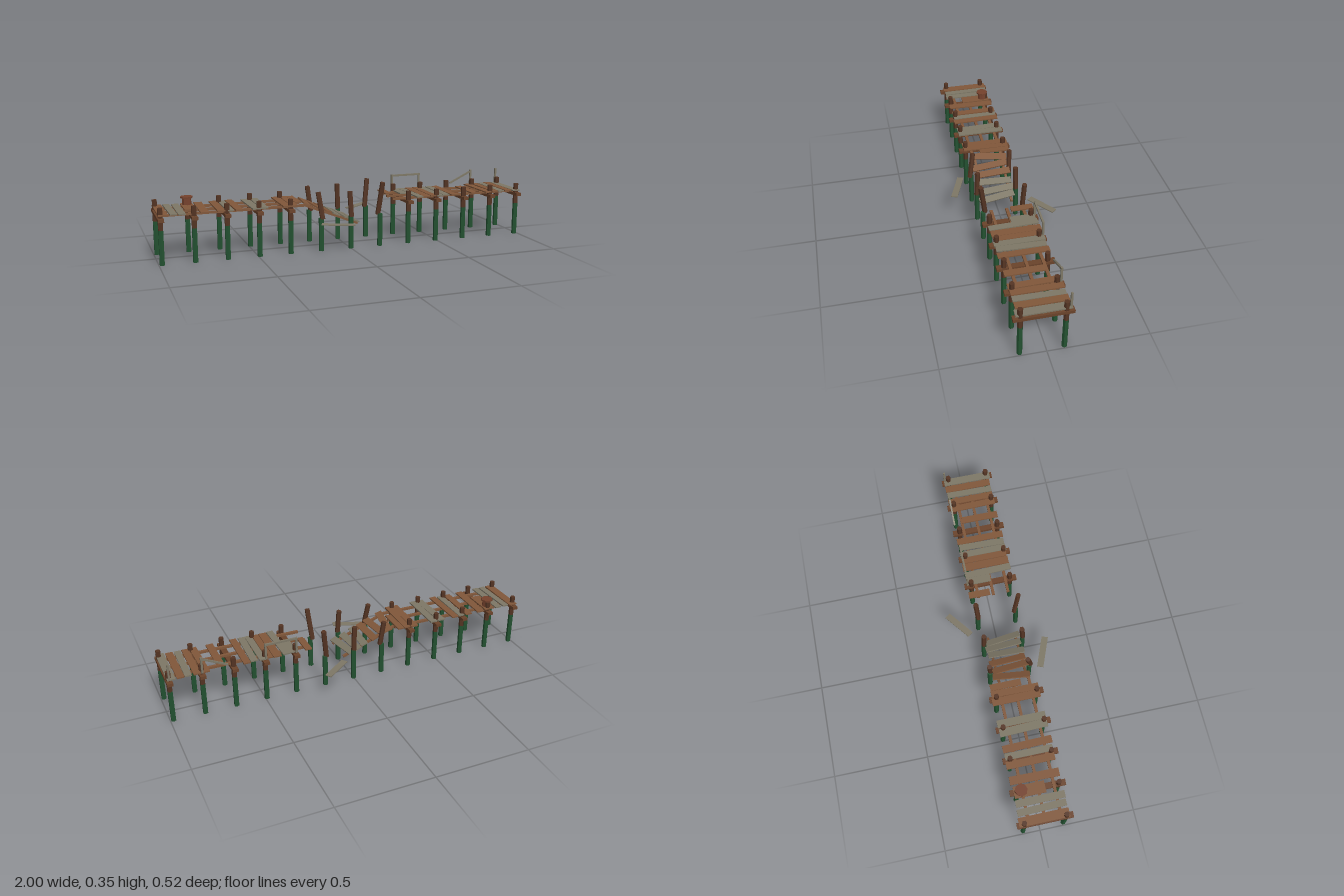
import * as THREE from 'three';

const paint = (color) => new THREE.MeshStandardMaterial({ color, flatShading: true });
const GREEN = paint(0x235231), BARK = paint(0x553524), BEAM = paint(0x6a432b);
const BROWN = paint(0x80573a), GREY = paint(0x7d7766), RED = paint(0x74412c);

const FRONT_Z = 0.126, BACK_Z = -0.087;
const BENT = (i) => -0.984 + 0.164 * i;

function add(parent, name, geometry, material, x = 0, y = 0, z = 0) {
  const m = new THREE.Mesh(geometry, material);
  m.name = name;
  m.position.set(x, y, z);
  parent.add(m);
  return m;
}

function box(parent, name, material, size, pos) {
  return add(parent, name, new THREE.BoxGeometry(...size), material, ...pos);
}

// Lay a mesh with its long axis on y between two points
function span(mesh, a, b) {
  const from = new THREE.Vector3(...a), to = new THREE.Vector3(...b);
  mesh.position.copy(from).add(to).multiplyScalar(0.5);
  mesh.quaternion.setFromUnitVectors(new THREE.Vector3(0, 1, 0), to.sub(from).normalize());
  return mesh;
}

function log(parent, name, material, a, b, r = 0.0135) {
  const len = new THREE.Vector3(...a).distanceTo(new THREE.Vector3(...b));
  return span(add(parent, name, new THREE.CylinderGeometry(r, r, len, 6), material), a, b);
}

function bar(parent, name, material, a, b, w = 0.01) {
  const len = new THREE.Vector3(...a).distanceTo(new THREE.Vector3(...b));
  return span(add(parent, name, new THREE.BoxGeometry(w, len, w), material), a, b);
}

export function createModel() {
  const pier = new THREE.Group();
  pier.name = 'brokenPier';

  // Pilings: green below the waterline, bark above; three middle bents lean
  const leaning = {
    5: { front: [[-0.158, 0.17, 0.134], [-0.176, 0.31, 0.113]], back: [[-0.156, 0.17, -0.083], [-0.173, 0.305, -0.09]] },
    6: { front: [[0.002, 0.17, 0.128], [-0.004, 0.305, 0.119]], back: [[0, 0.17, -0.087], [-0.005, 0.308, -0.085]] },
    7: { front: [[0.156, 0.17, 0.114], [0.173, 0.344, 0.138]], back: [[0.156, 0.17, -0.085], [0.172, 0.326, -0.092]] },
  };
  for (let i = 0; i < 13; i++) {
    const x = BENT(i);
    const bent = new THREE.Group();
    bent.name = 'bent';
    pier.add(bent);
    for (const [side, z] of [['front', FRONT_Z], ['back', BACK_Z]]) {
      log(bent, side + 'PileBase', GREEN, [x, 0, z], [x, 0.175, z]);
      const [a, b] = leaning[i] ? leaning[i][side] : [[x, 0.175, z], [x, 0.287, z]];
      log(bent, side + 'PileTop', BARK, a, b);
    }
    if (!leaning[i]) box(bent, 'crossBeam', BEAM, [0.03, 0.016, 0.286], [x, 0.229, 0.019]);
  }

  // Stringers under the two standing decks
  for (const z of [0.1, 0.019, -0.063])
    for (const [x0, x1] of [[-0.99, -0.25], [0.245, 0.99]])
      box(pier, 'stringer', BROWN, [x1 - x0, 0.012, 0.015], [(x0 + x1) / 2, 0.243, z]);

  // Deck planks: x, width, back z, front z, material, yaw
  const planks = [
    [-0.972, 0.046, -0.113, 0.143, BROWN, 0], [-0.923, 0.034, -0.11, 0.14, GREY, 0.02],
    [-0.88, 0.036, -0.108, 0.143, GREY, 0], [-0.824, 0.06, -0.105, 0.055, BROWN, 0],
    [-0.765, 0.042, -0.113, 0.14, BROWN, -0.02], [-0.685, 0.038, -0.113, 0.137, BROWN, 0],
    [-0.64, 0.034, -0.11, 0.137, GREY, 0], [-0.598, 0.038, -0.113, 0.143, BROWN, 0.02],
    [-0.511, 0.042, -0.11, 0.14, GREY, 0.03], [-0.467, 0.04, -0.113, 0.14, GREY, 0],
    [-0.348, 0.04, -0.113, 0.14, BROWN, 0], [-0.308, 0.036, -0.11, 0.14, BROWN, -0.02],
    [-0.269, 0.034, -0.108, 0.055, BROWN, 0],
    [0.263, 0.036, -0.113, 0.002, BROWN, 0], [0.346, 0.044, -0.105, 0.022, GREY, 0],
    [0.386, 0.036, -0.11, 0.143, GREY, 0.03], [0.431, 0.042, -0.113, 0.14, BROWN, 0],
    [0.472, 0.034, -0.11, 0.137, BROWN, 0], [0.509, 0.036, -0.113, 0.143, GREY, 0],
    [0.55, 0.036, -0.108, 0.14, GREY, -0.03], [0.592, 0.036, -0.113, 0.143, BROWN, 0],
    [0.718, 0.038, -0.06, 0.14, BROWN, 0], [0.802, 0.036, -0.11, 0.143, BROWN, 0.02],
    [0.846, 0.036, -0.113, 0.14, BROWN, 0], [0.888, 0.034, -0.11, 0.14, GREY, -0.02],
    [0.928, 0.038, -0.113, 0.14, BROWN, 0], [0.974, 0.042, -0.113, 0.149, GREY, 0],
  ];
  planks.forEach(([x, w, z0, z1, material, yaw], i) => {
    const p = box(pier, 'deckPlank', material, [w, 0.007, z1 - z0], [x, 0.251 + (i % 2) * 0.001, (z0 + z1) / 2]);
    p.rotation.y = yaw;
  });

  // Collapsed deck, sloping down into the gap
  const ramp = new THREE.Group();
  ramp.name = 'collapsedDeck';
  ramp.position.set(-0.25, 0.245, 0.019);
  ramp.rotation.z = -0.38;
  pier.add(ramp);
  for (const z of [0.074, -0.074]) box(ramp, 'fallenStringer', BROWN, [0.32, 0.012, 0.013], [0.16, 0, z]);
  [[0.025, BROWN, -0.14], [0.083, BROWN, 0.1], [0.133, BROWN, 0.05], [0.187, GREY, -0.04], [0.24, GREY, 0.08], [0.287, GREY, 0.15]]
    .forEach(([x, material, yaw], i) => {
      const p = box(ramp, 'fallenPlank', material, [0.038, 0.007, 0.195], [x, 0.01, i % 2 ? 0.002 : -0.004]);
      p.rotation.y = yaw;
    });

  // Loose planks adrift at the waterline
  box(pier, 'driftingPlank', GREY, [0.168, 0.005, 0.034], [0.145, 0.155, -0.195]).rotation.y = 0.65;
  box(pier, 'driftingPlank', GREY, [0.172, 0.005, 0.034], [-0.1, 0.155, 0.215]).rotation.y = -0.37;

  // Mooring bollard
  const bollard = new THREE.Group();
  bollard.name = 'bollard';
  bollard.position.set(-0.824, 0.25, -0.068);
  pier.add(bollard);
  add(bollard, 'bollardBody', new THREE.CylinderGeometry(0.022, 0.025, 0.042, 8), RED, 0, 0.021, 0);
  add(bollard, 'bollardCap', new THREE.CylinderGeometry(0.032, 0.032, 0.008, 8), RED, 0, 0.044, 0);

  // Remains of the handrail along the back
  const rz = -0.107;
  for (const i of [8, 9, 11, 12]) bar(pier, 'railPost', GREY, [BENT(i), 0.248, rz], [BENT(i), 0.336, rz]);
  bar(pier, 'handrail', GREY, [BENT(8), 0.33, rz], [BENT(9), 0.33, rz]);
  bar(pier, 'brokenHandrail', GREY, [0.69, 0.266, rz], [BENT(11), 0.328, rz], 0.009);

  return pier;
}
